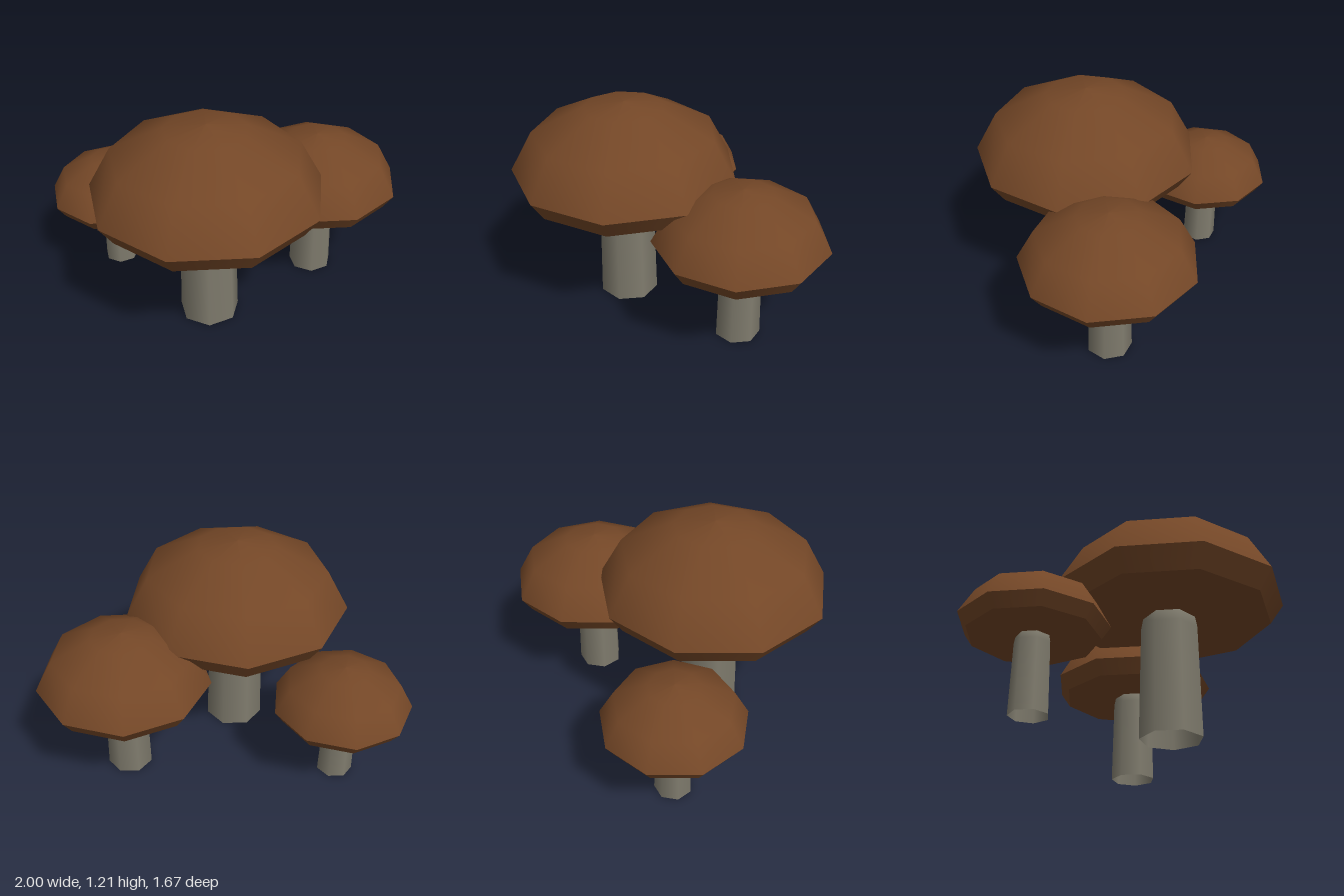
import * as THREE from 'three';

const capBrown = new THREE.MeshStandardMaterial({ color: 0x744727 });
capBrown.name = 'capBrown';
const stemGrey = new THREE.MeshStandardMaterial({ color: 0x7f7b6d, side: THREE.DoubleSide });
stemGrey.name = 'stemGrey';

// Turns a [radius, height] profile, listed from below upwards, with a corner on +x
function turned(name, profile, sides, material) {
  const points = profile.map(([r, y]) => new THREE.Vector2(r, y));
  const mesh = new THREE.Mesh(new THREE.LatheGeometry(points, sides, Math.PI / 2), material);
  mesh.name = name;
  return mesh;
}

function mushroom(name, x, z, scale) {
  const group = new THREE.Group();
  group.name = name;
  group.add(
    // Hollow seven-sided stem, rounded in where it meets the cap
    turned('stem', [[0.171, 0], [0.158, 0.63], [0.147, 0.69], [0.125, 0.73]], 7, stemGrey),
    // Nine-sided cap: separate surfaces keep the rim edges sharp
    turned('capUnderside', [[0, 0.694], [0.568, 0.694]], 9, capBrown),
    turned('capRim', [[0.568, 0.694], [0.645, 0.808]], 9, capBrown),
    turned('capDome', [[0.645, 0.808], [0.518, 1.037], [0.226, 1.18], [0, 1.21]], 9, capBrown),
  );
  group.position.set(x, 0, z);
  group.scale.setScalar(scale);
  return group;
}

export function createModel() {
  const model = new THREE.Group();
  model.name = 'mushroomCluster';
  model.add(
    mushroom('largeMushroom', -0.205, 0.195, 1),
    mushroom('mediumMushroom', 0.513, -0.095, 0.75),
    mushroom('smallMushroom', -0.637, -0.455, 0.6),
  );
  return model;
}
